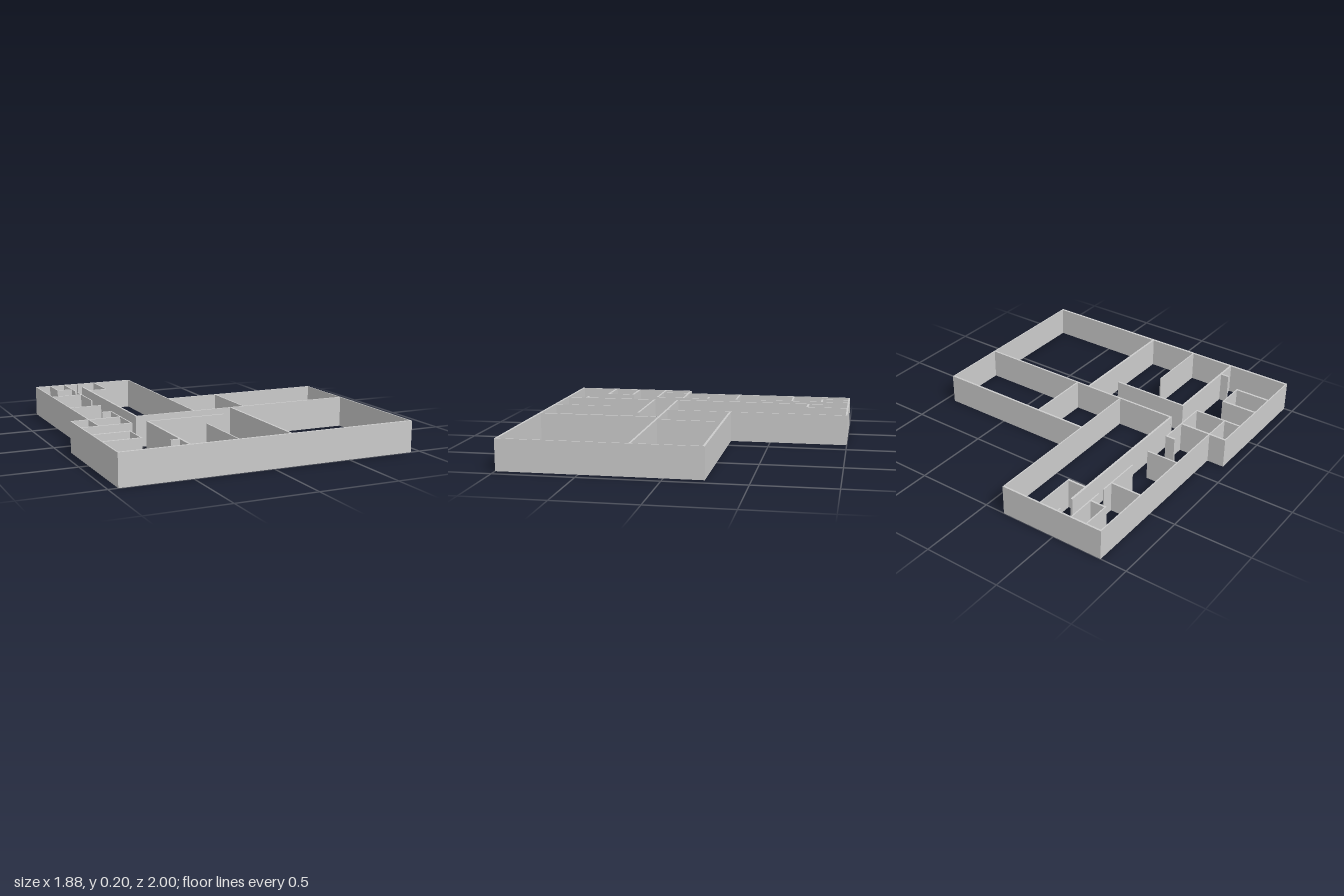
import * as THREE from 'three';

const HEIGHT = 0.196;
const THIN = 0.008;
const THICK = 0.014;

export function createModel() {
  const model = new THREE.Group();
  model.name = 'floorPlanWalls';
  const material = new THREE.MeshStandardMaterial({ color: 0xcccccc, flatShading: true });

  function wall(name, x0, x1, z0, z1) {
    const mesh = new THREE.Mesh(new THREE.BoxGeometry(x1 - x0, HEIGHT, z1 - z0), material);
    mesh.name = name;
    mesh.position.set((x0 + x1) / 2, HEIGHT / 2, (z0 + z1) / 2);
    model.add(mesh);
  }
  // Wall running front to back, centred on x
  const along = (name, x, z0, z1, t = THIN) => wall(name, x - t / 2, x + t / 2, z0, z1);
  // Wall running side to side, centred on z
  const across = (name, z, x0, x1, t = THICK) => wall(name, x0, x1, z - t / 2, z + t / 2);

  // Outer walls
  across('frontWall', 0.992, -0.941, 0.937, 0.016);
  along('leftWall', 0.933, -0.24, 1);
  across('mainBackWall', -0.233, -0.144, 0.937);
  along('wingLeftWall', -0.14, -1, 0.2);
  across('wingBackWall', -0.994, -0.83, -0.136, 0.012);
  along('wingRightWall', -0.826, -1, 0.364);
  along('rightWall', -0.937, 0.163, 1);
  across('rightStepWall', 0.17, -0.941, -0.619);

  // Main room partitions
  across('mainPartition', 0.195, -0.535, 0.937, 0.013);
  along('backRoomDivider', 0.206, -0.24, 0.2, 0.01);
  along('frontRoomDivider', 0.116, 0.19, 1, THICK);
  along('frontRightDivider', -0.517, 0.351, 1, 0.013);
  across('frontHallWall', 0.359, -0.523, -0.013, 0.013);
  along('frontStubWall', -0.219, 0.56, 1);
  across('doorNib', 0.853, -0.578, -0.517);

  // Long corridor, with its door openings
  along('corridorLeftWall', -0.528, -0.862, 0.2, 0.013);
  along('corridorLeftNib', -0.528, -1, -0.967);
  for (const [z0, z1] of [[-1, -0.728], [-0.682, -0.383], [-0.005, 0.364]])
    along('corridorRightWall', -0.623, z0, z1);

  // Small rooms on the right of the corridor
  across('smallRoomWall', -0.602, -0.83, -0.619, 0.012);
  across('smallRoomWall', -0.209, -0.83, -0.619, 0.012);
  across('smallRoomNib', -0.003, -0.683, -0.619);
  across('smallRoomFrontWall', 0.359, -0.941, -0.619, 0.013);

  // Closets
  along('backRightClosetSide', -0.726, -1, -0.803);
  across('backRightClosetFront', -0.809, -0.73, -0.619, 0.013);
  along('backLeftClosetSide', -0.404, -1, -0.717);
  across('backLeftClosetFront', -0.724, -0.534, -0.4);
  for (const z of [0.557, 0.737]) across('frontClosetWall', z, -0.941, -0.701, 0.015);
  along('frontClosetSide', -0.705, 0.55, 0.744);

  return model;
}
